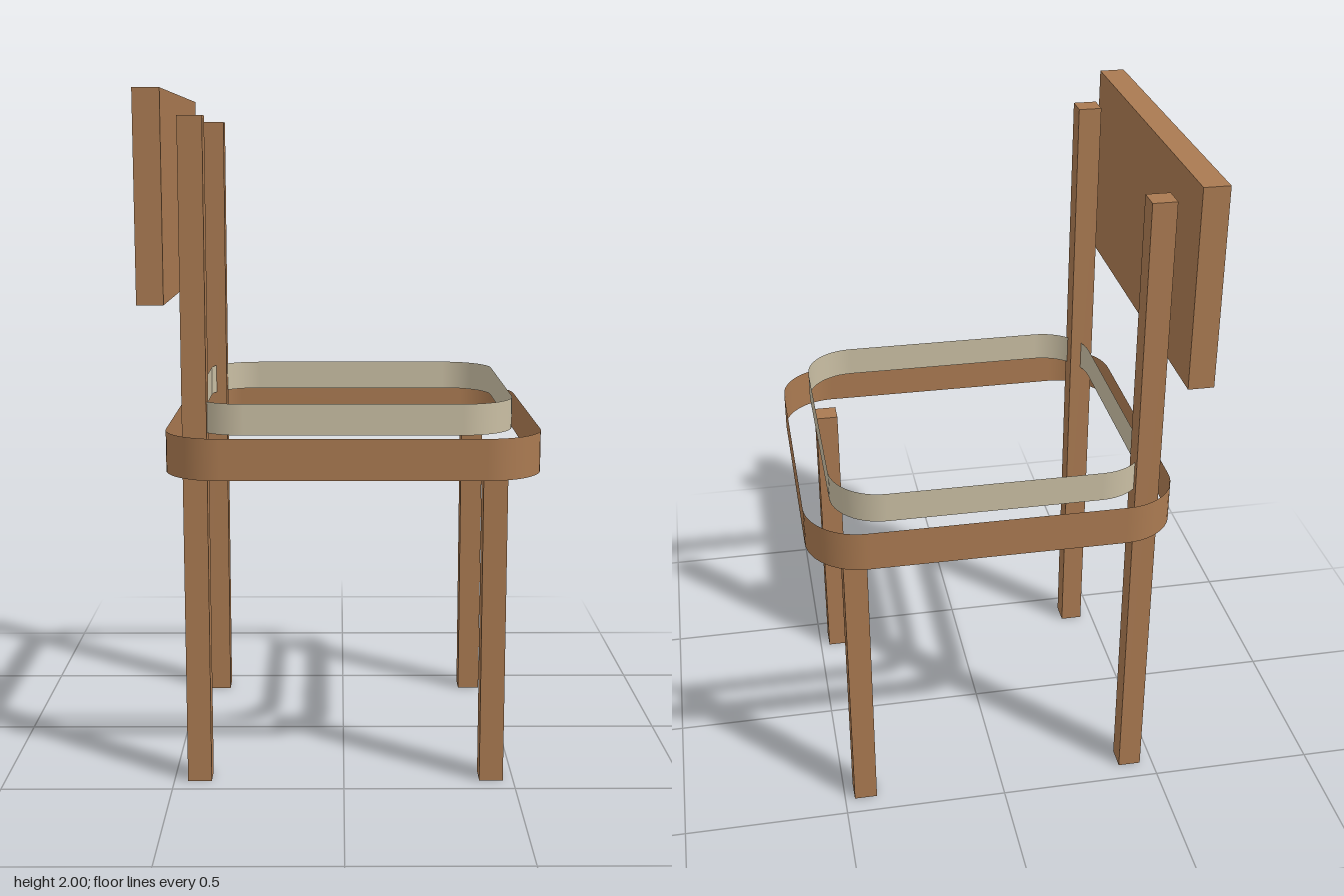
import * as THREE from 'three';

const wood = new THREE.MeshStandardMaterial({ color: 0xaa7a51, side: THREE.DoubleSide });
wood.name = 'wood';
const fabric = new THREE.MeshStandardMaterial({ color: 0xc9bea3, side: THREE.DoubleSide });
fabric.name = 'fabric';

// Box given by its min and max corners
function box(name, [x0, y0, z0], [x1, y1, z1]) {
  const mesh = new THREE.Mesh(new THREE.BoxGeometry(x1 - x0, y1 - y0, z1 - z0), wood);
  mesh.position.set((x0 + x1) / 2, (y0 + y1) / 2, (z0 + z1) / 2);
  mesh.name = name;
  return mesh;
}

// Open upright band around a rounded rectangle, with smooth corners
function band(name, halfX, halfZ, radius, y0, y1, material) {
  const positions = [], normals = [], index = [];
  const steps = 12;
  for (let corner = 0; corner < 4; corner++) {
    const cx = (corner === 0 || corner === 3 ? 1 : -1) * (halfX - radius);
    const cz = (corner < 2 ? 1 : -1) * (halfZ - radius);
    for (let i = 0; i <= steps; i++) {
      const a = (corner + i / steps) * Math.PI / 2;
      const nx = Math.cos(a), nz = Math.sin(a);
      for (const y of [y0, y1]) {
        positions.push(cx + radius * nx, y, cz + radius * nz);
        normals.push(nx, 0, nz);
      }
    }
  }
  const count = positions.length / 3;
  for (let b = 0; b < count; b += 2) {
    const n = (b + 2) % count;
    index.push(b, b + 1, n, b + 1, n + 1, n);
  }
  const geometry = new THREE.BufferGeometry();
  geometry.setAttribute('position', new THREE.Float32BufferAttribute(positions, 3));
  geometry.setAttribute('normal', new THREE.Float32BufferAttribute(normals, 3));
  geometry.setIndex(index);
  const mesh = new THREE.Mesh(geometry, material);
  mesh.name = name;
  mesh.position.x = 0.0275;
  return mesh;
}

export function createModel() {
  const chair = new THREE.Group();
  chair.name = 'chair';

  // Legs: the tall rear pair carries the backrest
  for (const [side, z] of [['Left', -0.405], ['Right', 0.405]]) {
    chair.add(box('rearLeg' + side, [-0.46, 0, z - 0.035], [-0.39, 1.93, z + 0.035]));
    chair.add(box('frontLeg' + side, [0.4, 0, z - 0.035], [0.47, 0.93, z + 0.035]));
  }

  // Backrest panel
  chair.add(box('backrest', [-0.57, 1.415, -0.53], [-0.495, 2, 0.53]));

  // Seat frame and cushion edge
  chair.add(band('seatFrame', 0.5425, 0.5175, 0.165, 0.92, 1.04, wood));
  chair.add(band('cushionEdge', 0.4625, 0.4625, 0.15, 1.04, 1.13, fabric));

  return chair;
}
